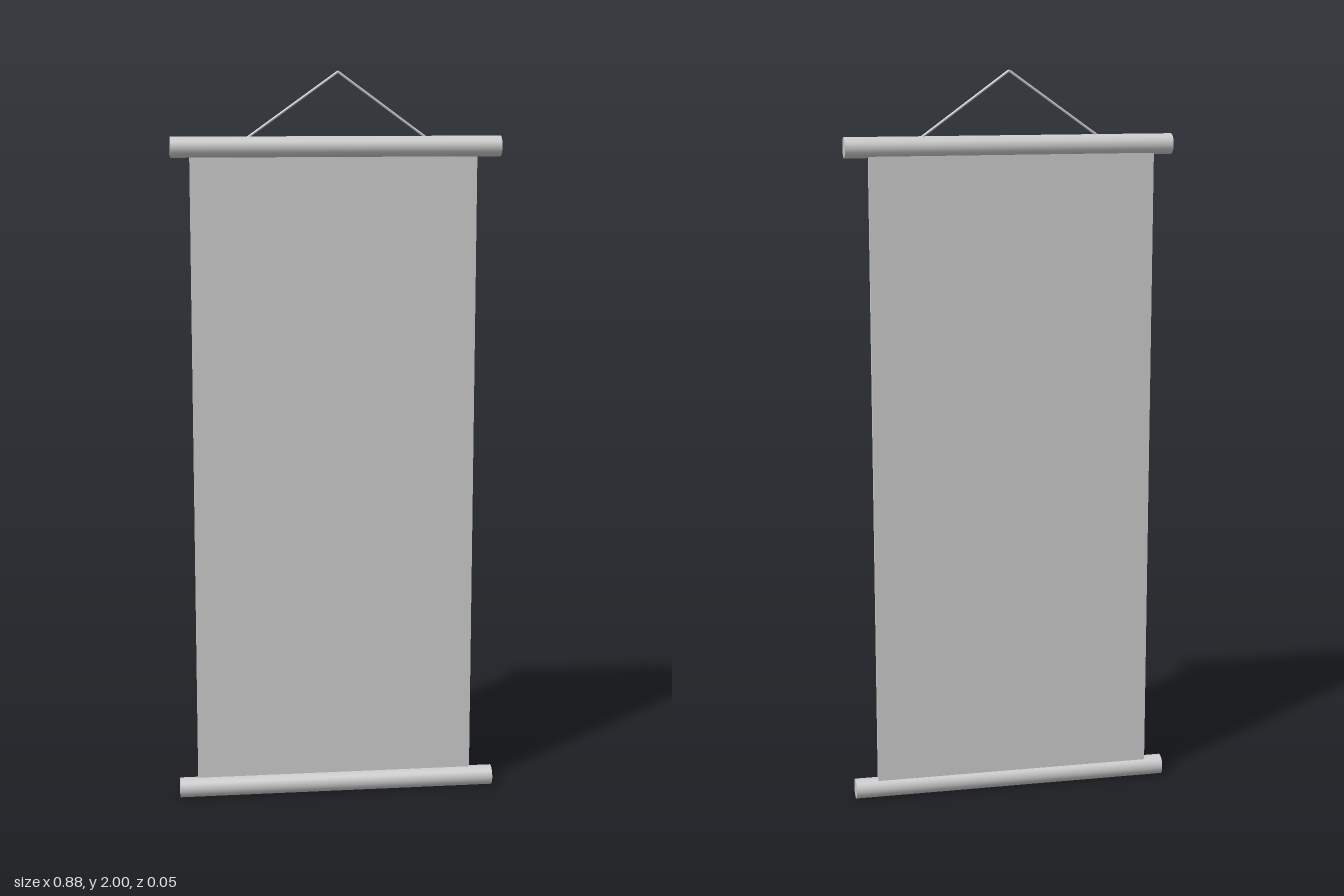
import * as THREE from 'three';

const material = new THREE.MeshStandardMaterial({ color: 0xcccccc });

// Smooth cylinder running between two points
function bar(name, from, to, radius, sides) {
  const dir = to.clone().sub(from);
  const mesh = new THREE.Mesh(new THREE.CylinderGeometry(radius, radius, dir.length(), sides), material);
  mesh.name = name;
  mesh.position.copy(from).add(to).multiplyScalar(0.5);
  mesh.quaternion.setFromUnitVectors(new THREE.Vector3(0, 1, 0), dir.normalize());
  return mesh;
}

export function createModel() {
  const group = new THREE.Group();
  group.name = 'hangingScroll';
  const v = (x, y, z = 0) => new THREE.Vector3(x, y, z);
  const rodRadius = 0.0275, rodHalf = 0.442, topY = 1.802, bottomY = rodRadius;

  // Round rods holding the sheet at both ends
  group.add(bar('topRod', v(-rodHalf, topY), v(rodHalf, topY), rodRadius, 32));
  group.add(bar('bottomRod', v(-rodHalf, bottomY), v(rodHalf, bottomY), rodRadius, 32));

  // Hanging sheet, running into both rods and set slightly behind their axis
  const sheet = new THREE.Mesh(new THREE.BoxGeometry(0.77, topY - bottomY, 0.018), material);
  sheet.name = 'sheet';
  sheet.position.set(-0.006, (topY + bottomY) / 2, -0.006);
  group.add(sheet);

  // Two straight cord halves meeting at the hanging point
  const peak = v(0.003, 1.997);
  for (const [name, side] of [['rightCord', -1], ['leftCord', 1]]) {
    group.add(bar(name, v(side * 0.238, topY + 0.024), peak, 0.0035, 10));
  }
  return group;
}
